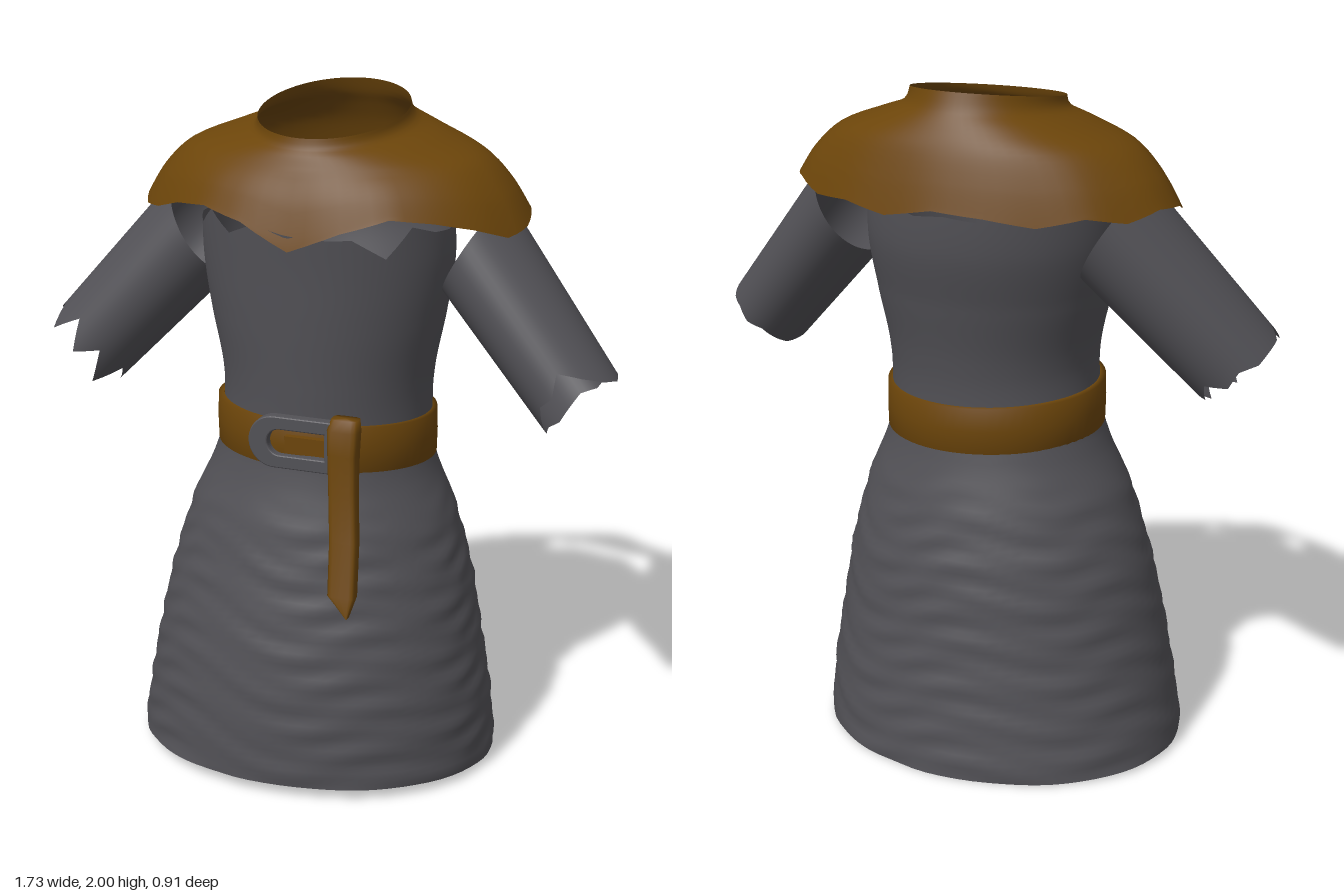
import * as THREE from 'three';

const mat = (name, color) => {
  const m = new THREE.MeshStandardMaterial({ color, side: THREE.DoubleSide });
  m.name = name;
  return m;
};

// Smooth lookup in a table whose rows start with a rising key
function lookup(rows, key) {
  let i = 0;
  while (i < rows.length - 2 && key > rows[i + 1][0]) i++;
  const row = k => rows[Math.min(rows.length - 1, Math.max(0, k))];
  const t = THREE.MathUtils.clamp((key - row(i)[0]) / (row(i + 1)[0] - row(i)[0]), 0, 1);
  return row(i).slice(1).map((b, c) => {
    const a = row(i - 1)[c + 1], d = row(i + 1)[c + 1], e = row(i + 2)[c + 1];
    return b + 0.5 * t * (d - a + t * (2 * a - 5 * b + 4 * d - e + t * (3 * (b - d) + e - a)));
  });
}

// Straight-line value of a torn edge around a loop, u in 0..1
function torn(list, u) {
  const f = (((u % 1) + 1) % 1) * list.length;
  const i = Math.floor(f) % list.length;
  return THREE.MathUtils.lerp(list[i], list[(i + 1) % list.length], f - Math.floor(f));
}

// Closed-loop surface: point(u, v) returns [x, y, z]
function loft(nu, nv, point) {
  const pos = [], idx = [];
  for (let j = 0; j <= nv; j++)
    for (let i = 0; i < nu; i++) pos.push(...point(i / nu, j / nv));
  for (let j = 0; j < nv; j++)
    for (let i = 0; i < nu; i++) {
      const a = j * nu + i, b = j * nu + (i + 1) % nu;
      idx.push(a, b, b + nu, a, b + nu, a + nu);
    }
  const g = new THREE.BufferGeometry();
  g.setAttribute('position', new THREE.Float32BufferAttribute(pos, 3));
  g.setIndex(idx);
  g.computeVertexNormals();
  return g;
}

// y, centre x, centre z, half width, half depth
const BODY = [
  [0.0, -0.05, 0.0, 0.553, 0.455],
  [0.2, -0.04, 0.01, 0.53, 0.44],
  [0.4, -0.035, 0.015, 0.495, 0.415],
  [0.6, -0.03, 0.01, 0.455, 0.38],
  [0.8, -0.025, 0.01, 0.395, 0.335],
  [0.95, -0.02, 0.01, 0.33, 0.295],
  [1.05, -0.014, 0.012, 0.314, 0.285],
  [1.2, -0.01, 0.01, 0.312, 0.292],
  [1.4, -0.015, -0.005, 0.35, 0.318],
  [1.55, -0.02, -0.02, 0.37, 0.34],
  [1.72, -0.025, -0.02, 0.365, 0.35],
];

function bodyPoint(y, a, out = 0) {
  const [cx, cz, rx, rz] = lookup(BODY, y);
  return [cx + Math.sin(a) * (rx + out), y, cz + Math.cos(a) * (rz + out)];
}

// Tunic with a lightly wrinkled skirt and a torn upper edge
function tunicGeometry() {
  const top = [1.67, 1.66, 1.66, 1.6, 1.68, 1.65, 1.64, 1.65, 1.66, 1.65, 1.68, 1.66,
    1.67, 1.66, 1.68, 1.65, 1.66, 1.65, 1.64, 1.65, 1.64, 1.7, 1.65, 1.69];
  return loft(72, 90, (u, v) => {
    const a = u * Math.PI * 2;
    const hem = 0.02 + 0.018 * Math.cos(a);
    const y = THREE.MathUtils.lerp(hem, torn(top, u), v);
    const skirt = THREE.MathUtils.smoothstep(0.93 - y, 0, 0.25);
    const fold = 0.004 * Math.sin(y * 70 + 2 * Math.sin(3 * a) + 2 * Math.cos(5 * a)) * Math.sin(4 * a + y * 17);
    return bodyPoint(y, a, fold * skirt);
  });
}

// Short sleeve, tilted down and out; side is +1 or -1
function sleeveGeometry(side, thick, tears) {
  const start = new THREE.Vector3(0.385, 1.625, -0.058);
  const end = new THREE.Vector3(0.77, 1.195, 0.062);
  return loft(48, 14, (u, v) => {
    const a = u * Math.PI * 2;
    // The inner end is cut on a slant to meet the side of the body
    const inner = 0.08 * (1 - Math.cos(a));
    const t = THREE.MathUtils.lerp(inner, 1 + torn(tears, side * u), v);
    const p = start.clone().lerp(end, t);
    const r = THREE.MathUtils.lerp(0.145, 0.125, t) * thick;
    const rz = THREE.MathUtils.lerp(0.195, 0.158, t);
    const c = Math.cos(a) * r;
    return [side * (p.x + c * 0.741), p.y + c * 0.672, p.z + side * Math.sin(a) * rz];
  });
}

// Shoulder cape: 0 is the pointed rim, 1 the collar
const CAPE = [ // key, y, centre z, half width, half depth, rise to the back
  [0, 1.685, -0.038, 0.58, 0.375, 0],
  [0.3, 1.77, -0.045, 0.525, 0.345, 0],
  [0.5, 1.843, -0.05, 0.445, 0.312, 0.01],
  [0.7, 1.893, -0.045, 0.32, 0.286, 0.02],
  [0.87, 1.925, -0.04, 0.232, 0.265, 0.03],
  [1, 1.96, -0.035, 0.215, 0.252, 0.04],
];

function capeGeometry() {
  const rim = [-0.06, 0.0, 0.04, 0.025, 0.0, -0.035, -0.02, 0.01, 0.015, -0.01, 0.0, -0.02,
    0.01, 0.0, -0.02, 0.005, -0.015, 0.01, 0.0, -0.03, -0.015, 0.02, 0.035, 0.01];
  return loft(72, 24, (u, v) => {
    const a = u * Math.PI * 2;
    const [y, cz, rx, rz, rise] = lookup(CAPE, v);
    const drop = torn(rim, u) * Math.max(0, 1 - v / 0.5);
    // The front tapers towards its point
    const taper = Math.cos(a) > 0 ? 1 - 0.06 * (1 - v) * Math.sin(2 * a) ** 2 : 1;
    return [-0.01 + Math.sin(a) * rx * taper, y - rise * Math.cos(a) + drop, cz + Math.cos(a) * rz * taper];
  });
}

// Belt band, slightly raised at the front
function beltGeometry() {
  const section = [[-0.005, -0.07], [0.012, -0.068], [0.014, 0], [0.012, 0.068], [-0.005, 0.07]];
  return loft(64, section.length - 1, (u, v) => {
    const a = u * Math.PI * 2;
    const [out, dy] = section[Math.round(v * (section.length - 1))];
    const y = 1.035 + 0.014 * Math.cos(a) - 0.01 * Math.sin(a);
    const p = bodyPoint(y, a, out);
    return [p[0], y + dy, p[2]];
  });
}

// D-shaped outline used for the buckle frame and its opening
function dShape(target, left, right, h) {
  target.moveTo(right, -h);
  target.lineTo(right, h);
  target.lineTo(left + h, h);
  target.absarc(left + h, 0, h, Math.PI / 2, Math.PI * 1.5, false);
  target.closePath();
  return target;
}

function buckleGeometry() {
  const shape = dShape(new THREE.Shape(), -0.132, 0.12, 0.074);
  shape.holes.push(dShape(new THREE.Path(), -0.082, 0.1, 0.042));
  return new THREE.ExtrudeGeometry(shape, {
    depth: 0.022, bevelEnabled: true, bevelSize: 0.004, bevelThickness: 0.006, bevelSegments: 2, curveSegments: 12,
  });
}

// Hanging belt end with a pointed tip
function strapGeometry() {
  const rows = [ // y, x, z, half width, half thickness
    [0.59, 0.2, 0.415, 0.002, 0.012],
    [0.65, 0.178, 0.398, 0.042, 0.022],
    [0.8, 0.168, 0.355, 0.042, 0.025],
    [0.95, 0.157, 0.333, 0.042, 0.026],
    [1.05, 0.153, 0.322, 0.044, 0.03],
    [1.12, 0.153, 0.318, 0.047, 0.03],
    [1.15, 0.153, 0.305, 0.04, 0.024],
    [1.151, 0.153, 0.305, 0.001, 0.001],
  ];
  const soft = c => Math.sign(c) * Math.sqrt(Math.abs(c));
  return loft(16, rows.length - 1, (u, v) => {
    const a = u * Math.PI * 2;
    const [y, x, z, w, d] = rows[Math.round(v * (rows.length - 1))];
    return [x + soft(Math.sin(a)) * w, y, z + soft(Math.cos(a)) * d];
  });
}

export function createModel() {
  const cloth = mat('grey cloth', 0x525156);
  const leather = mat('brown leather', 0x6c450a);
  const model = new THREE.Group();
  model.name = 'tunic outfit';
  const add = (name, geometry, material) => {
    const mesh = new THREE.Mesh(geometry, material);
    mesh.name = name;
    model.add(mesh);
    return mesh;
  };

  add('tunic', tunicGeometry(), cloth);
  // Tears run from the top of the cuff round by the front
  add('leftSleeve', sleeveGeometry(1, 1,
    [0.02, -0.02, -0.1, -0.2, -0.12, -0.12, -0.04, 0.01, 0, 0.02, 0, -0.02, 0.01, -0.01, 0.01, 0]), cloth);
  add('rightSleeve', sleeveGeometry(-1, 1.1,
    [-0.04, -0.12, -0.03, -0.2, -0.06, -0.16, 0.02, -0.1, 0, -0.08, -0.02, -0.08, 0, -0.03, 0.0, -0.02]), cloth);
  add('cape', capeGeometry(), leather);
  add('belt', beltGeometry(), leather);
  add('buckle', buckleGeometry(), cloth).position.set(0, 1.062, 0.303);
  const tongue = add('buckleTongue', new THREE.BoxGeometry(0.13, 0.05, 0.02), leather);
  tongue.position.set(0.04, 1.058, 0.318);
  add('strap', strapGeometry(), leather);
  return model;
}
